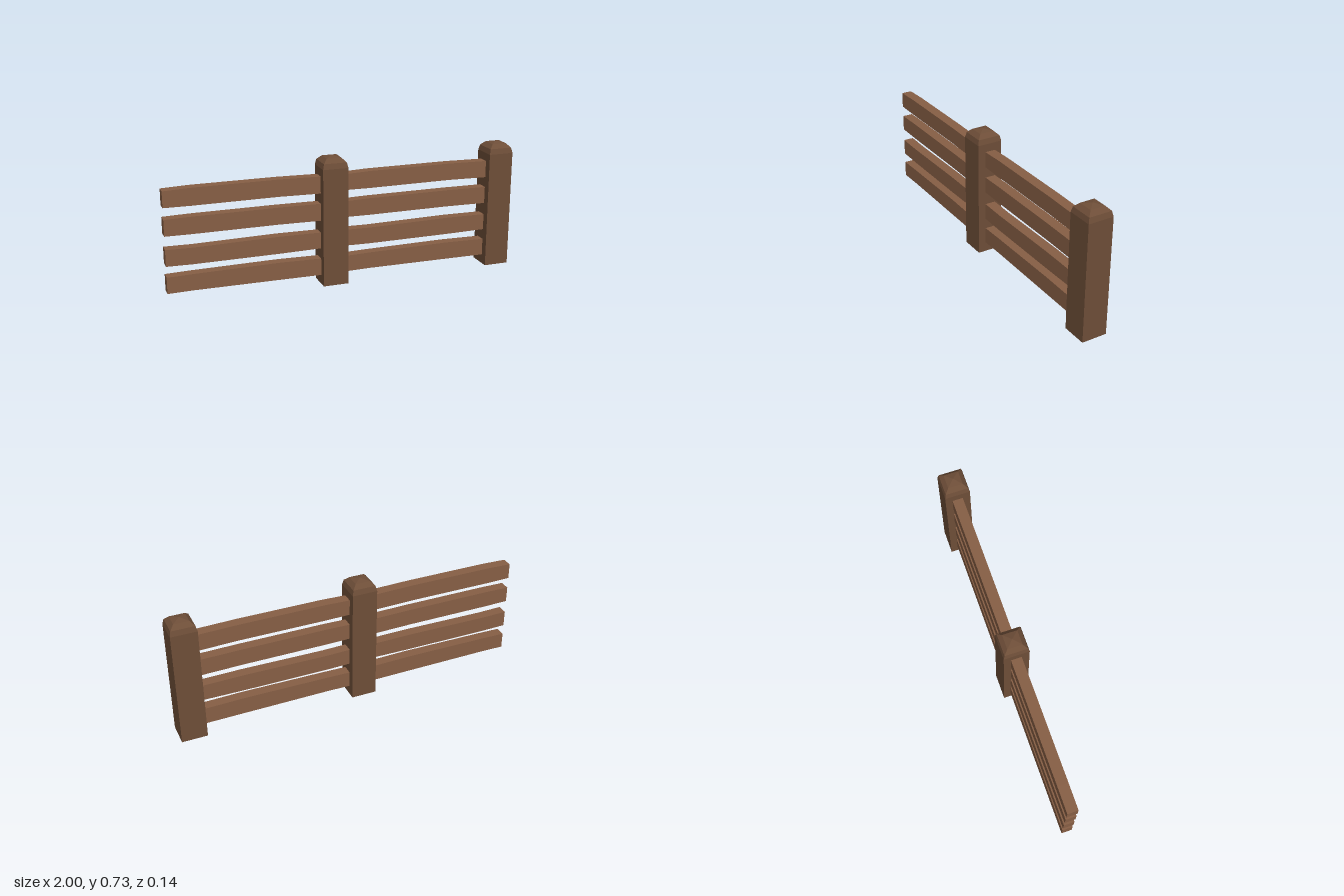
import * as THREE from 'three';

const postMaterial = new THREE.MeshStandardMaterial({ color: 0x6e4e38, flatShading: true });
const railMaterial = new THREE.MeshStandardMaterial({ color: 0x875f45, flatShading: true });

// Square post with a faceted domed cap; a four-sided lathe turned square to the axes
function makePost(x) {
  const profile = [[0, 0], [0.072, 0], [0.072, 0.667], [0.065, 0.697], [0.042, 0.72], [0, 0.73]]
    .map(([half, y]) => new THREE.Vector2(half * Math.SQRT2, y));
  const post = new THREE.Mesh(new THREE.LatheGeometry(profile, 4, Math.PI / 4), postMaterial);
  post.name = 'post';
  post.position.x = x;
  return post;
}

// Slightly uneven plank: heights of its top and bottom edges along its length
const stations = [0, 0.17, 0.72, 1];
const planks = [
  { name: 'topRail', top: [0.621, 0.626, 0.626, 0.621], bottom: [0.531, 0.529, 0.53, 0.525] },
  { name: 'upperRail', top: [0.467, 0.47, 0.47, 0.467], bottom: [0.376, 0.374, 0.374, 0.37] },
  { name: 'lowerRail', top: [0.302, 0.299, 0.305, 0.302], bottom: [0.209, 0.206, 0.207, 0.21] },
  { name: 'bottomRail', top: [0.148, 0.151, 0.155, 0.15], bottom: [0.056, 0.058, 0.055, 0.053] },
];

function makeRail(plank, length) {
  const upper = plank.top.map((y, i) => new THREE.Vector2(stations[i] * length, y));
  const lower = plank.bottom.map((y, i) => new THREE.Vector2(stations[i] * length, y));
  const shape = new THREE.Shape([...lower, ...upper.reverse()]);
  const geometry = new THREE.ExtrudeGeometry(shape, { depth: 0.06, bevelEnabled: false });
  geometry.translate(0, 0, -0.032);
  const rail = new THREE.Mesh(geometry, railMaterial);
  rail.name = plank.name;
  return rail;
}

export function createModel() {
  const fence = new THREE.Group();
  fence.name = 'fence';

  // Two bays, each with four rails ending in a post
  [['right', -1, -0.07], ['left', -0.002, 0.928]].forEach(([side, start, postX]) => {
    const bay = new THREE.Group();
    bay.name = side + 'Bay';
    planks.forEach((plank) => {
      const rail = makeRail(plank, 0.862);
      rail.position.x = start;
      bay.add(rail);
    });
    bay.add(makePost(postX));
    fence.add(bay);
  });
  return fence;
}
